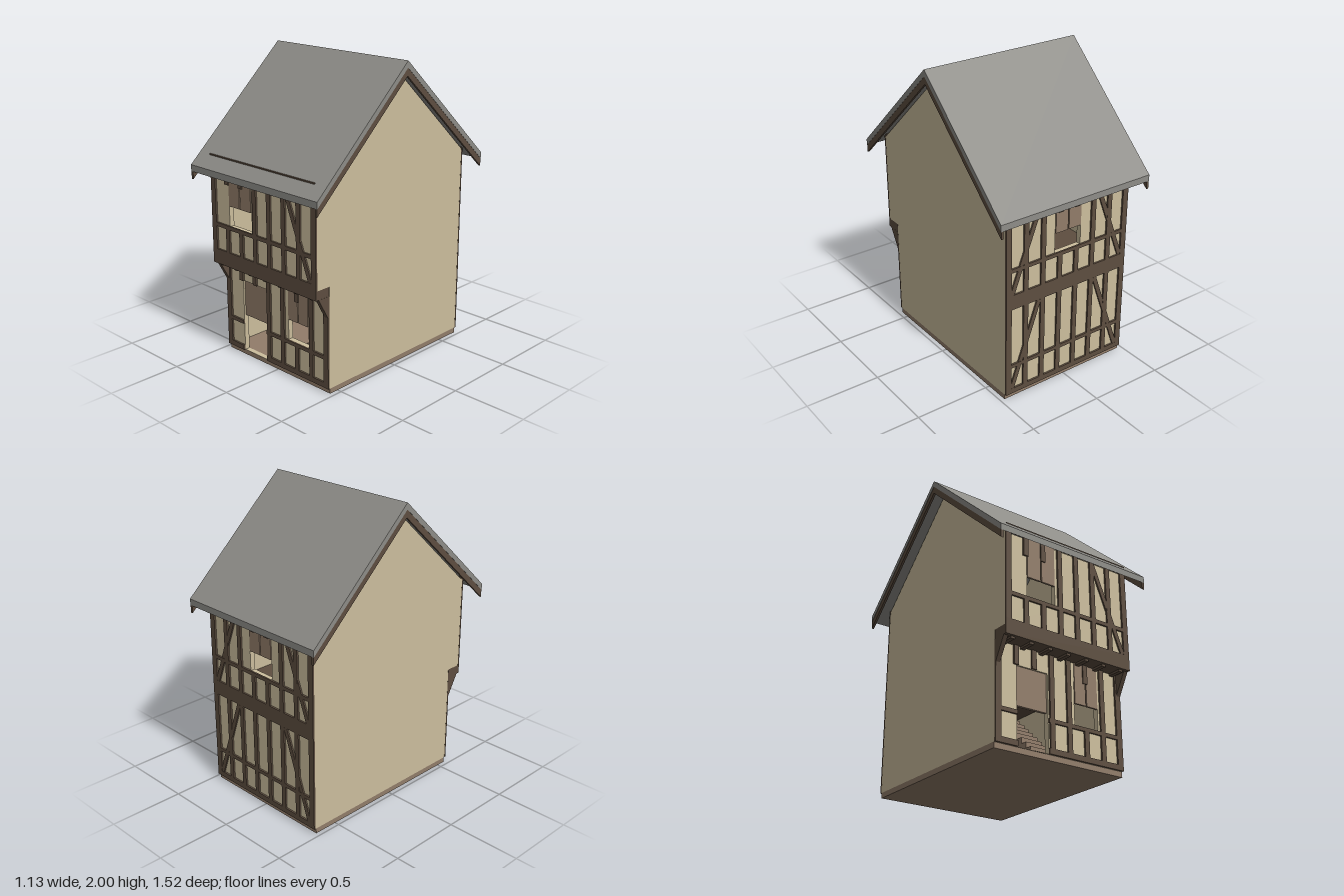
import * as THREE from 'three';

const mat = (name, color, side = THREE.FrontSide) => {
  const m = new THREE.MeshStandardMaterial({ color, side });
  m.name = name;
  return m;
};

export function createModel() {
  const plaster = mat('plaster', 0xcdbf9e);
  const timber = mat('dark timber', 0x5e4e40);
  const wood = mat('light wood', 0x927d6a);
  const slate = mat('slate', 0x8e8d88);
  const house = new THREE.Group();
  house.name = 'timberFramedHouse';

  const add = (name, geo, m, parent = house) => {
    const mesh = new THREE.Mesh(geo, m);
    mesh.name = name;
    parent.add(mesh);
    return mesh;
  };
  // box given by its limits
  const box = (name, m, x0, x1, y0, y1, z0, z1, parent) => {
    const mesh = add(name, new THREE.BoxGeometry(x1 - x0, y1 - y0, z1 - z0), m, parent);
    mesh.position.set((x0 + x1) / 2, (y0 + y1) / 2, (z0 + z1) / 2);
    return mesh;
  };
  const shapeOf = (pts) => new THREE.Shape(pts.map(([a, b]) => new THREE.Vector2(a, b)));
  // (z, y) profile extruded across x
  const acrossX = (name, m, pts, x0, x1) => {
    const geo = new THREE.ExtrudeGeometry(shapeOf(pts), { depth: x1 - x0, bevelEnabled: false });
    geo.rotateY(-Math.PI / 2).translate(x1, 0, 0);
    return add(name, geo, m);
  };
  // flat wall with rectangular openings [x0, x1, y0, y1], outer face at z
  const wall = (name, y0, y1, z, openings, parent) => {
    const s = shapeOf([[-0.445, y0], [0.445, y0], [0.445, y1], [-0.445, y1]]);
    for (const [a, b, c, d] of openings) {
      s.holes.push(new THREE.Path([[a, c], [a, d], [b, d], [b, c]].map((p) => new THREE.Vector2(...p))));
    }
    const geo = new THREE.ExtrudeGeometry(s, { depth: 0.035, bevelEnabled: false });
    geo.translate(0, 0, z - 0.035);
    return add(name, geo, plaster, parent);
  };

  // upright studs, interrupted where they meet an opening
  const studXs = Array.from({ length: 8 }, (_, i) => -0.45 + (i * 0.9) / 7);
  const T = 0.012;
  const studs = (y0, y1, z, openings, parent) => {
    studXs.forEach((x, i) => {
      const w = i === 0 || i === 7 ? 0.0205 : 0.017;
      const hole = openings.find(([a, b]) => x > a - 0.015 && x < b + 0.01);
      const spans = hole ? [[y0, hole[2]], [hole[3], y1]] : [[y0, y1]];
      for (const [a, b] of spans) {
        if (b - a > 0.03) box('stud', timber, x - w, x + w, a, b, z, z + T, parent);
      }
    });
  };
  const rail = (y0, y1, z, parent, x0 = -0.4705, x1 = 0.4705) =>
    box('rail', timber, x0, x1, y0, y1, z, z + T, parent);
  const brace = (xa, ya, xb, yb, z, parent) => {
    const len = Math.hypot(xb - xa, yb - ya);
    const b = add('brace', new THREE.BoxGeometry(0.03, len, T - 0.002), timber, parent);
    b.position.set((xa + xb) / 2, (ya + yb) / 2, z + T / 2);
    b.rotation.z = -Math.atan2(xb - xa, yb - ya);
  };
  // pair of shutters hung over the upper half of an opening
  const shutters = ([a, b, c, d], z, parent) => {
    const mid = (a + b) / 2, y = (c + d) / 2, h = d - c;
    box('shutter', wood, a + 0.003, mid - 0.004, y, y + h, z - 0.008, z + 0.005, parent);
    box('shutter', wood, mid + 0.004, b - 0.003, y, y + h, z - 0.008, z + 0.005, parent);
  };

  // base and upper floor
  box('base', wood, -0.47, 0.47, 0, 0.035, -0.665, 0.565);
  box('upperFloor', timber, -0.438, 0.438, 0.655, 0.71, -0.63, 0.56);
  box('jettyFloor', timber, -0.47, 0.47, 0.65, 0.71, 0.571, 0.67);

  // gable walls
  const gable = [[-0.67, 0.035], [0.57, 0.035], [0.57, 0.71], [0.67, 0.71],
    [0.67, 1.325], [0, 1.942], [-0.67, 1.325]];
  acrossX('rightGable', plaster, gable, -0.47, -0.44);
  acrossX('leftGable', plaster, gable, 0.44, 0.47);

  // front, ground storey
  const door = [-0.315, -0.09, 0.036, 0.53];
  const lowWindow = [0.11, 0.29, 0.25, 0.53];
  const lower = new THREE.Group();
  lower.name = 'frontGroundStorey';
  house.add(lower);
  wall('frontLowerWall', 0.035, 0.655, 0.57, [door, lowWindow], lower);
  studs(0.035, 0.65, 0.57, [door, lowWindow], lower);
  for (const [y0, y1] of [[0.035, 0.07], [0.225, 0.25]]) {
    rail(y0, y1, 0.57, lower, -0.4705, door[0]);
    rail(y0, y1, 0.57, lower, door[1], 0.4705);
  }
  box('door', wood, door[0] + 0.003, door[1] - 0.003, 0.285, 0.775, 0.54, 0.56, lower);
  shutters(lowWindow, 0.57, lower);

  // front, jettied upper storey
  const upWindow = [-0.31, -0.1, 0.925, 1.2];
  const upper = new THREE.Group();
  upper.name = 'frontUpperStorey';
  house.add(upper);
  wall('frontUpperWall', 0.71, 1.32, 0.67, [upWindow], upper);
  studs(0.75, 1.33, 0.67, [upWindow], upper);
  rail(0.65, 0.75, 0.67, upper);
  rail(0.905, 0.93, 0.67, upper);
  box('topPlate', timber, -0.47, 0.47, 1.33, 1.376, 0.66, 0.686, upper);
  brace(0.42, 0.75, 0.195, 1.32, 0.67, upper);
  shutters(upWindow, 0.67, upper);

  // joist ends and corner brackets under the jetty
  for (let i = 0; i < 7; i++) {
    const x = -0.411 + i * 0.137;
    box('joistEnd', timber, x - 0.014, x + 0.014, 0.636, 0.66, 0.57, 0.665);
  }
  for (const x of [-0.4705, 0.4405]) {
    acrossX('jettyBracket', timber, [[0.57, 0.51], [0.582, 0.51], [0.66, 0.65], [0.57, 0.65]], x, x + 0.03);
  }

  // back, turned to face -z
  const back = new THREE.Group();
  back.name = 'backFacade';
  back.rotation.y = Math.PI;
  house.add(back);
  const backWindow = [-0.1, 0.1, 0.925, 1.2];
  wall('backWall', 0.035, 1.32, 0.67, [backWindow], back);
  studs(0.035, 0.65, 0.67, [], back);
  studs(0.75, 1.325, 0.67, [backWindow], back);
  for (const [y0, y1] of [[0.035, 0.07], [0.225, 0.25], [0.65, 0.75], [0.905, 0.93], [1.3, 1.335]]) {
    rail(y0, y1, 0.67, back);
  }
  for (const s of [-1, 1]) {
    brace(s * 0.425, 0.07, s * 0.22, 0.65, 0.67, back);
    brace(s * 0.425, 0.75, s * 0.21, 1.32, 0.67, back);
  }
  shutters(backWindow, 0.67, back);

  // stair inside, rising to the back
  for (let i = 0; i < 15; i++) {
    const z = 0.38 - i * 0.045;
    box('stairStep', wood, 0.03, 0.19, 0.035, 0.075 + i * 0.041, z - 0.045, z);
  }

  // roof slabs and bargeboards follow the same slope
  const chevron = (top, thick) => {
    const e = 0.76, drop = 0.7;
    return [[-e, top - drop - thick], [0, top - thick], [e, top - drop - thick],
      [e, top - drop], [0, top], [-e, top - drop]];
  };
  acrossX('roof', slate, chevron(2, 0.043), -0.565, 0.565);
  acrossX('bargeboard', timber, chevron(1.957, 0.05), -0.563, -0.547);
  acrossX('bargeboard', timber, chevron(1.957, 0.05), 0.547, 0.563);

  return house;
}
